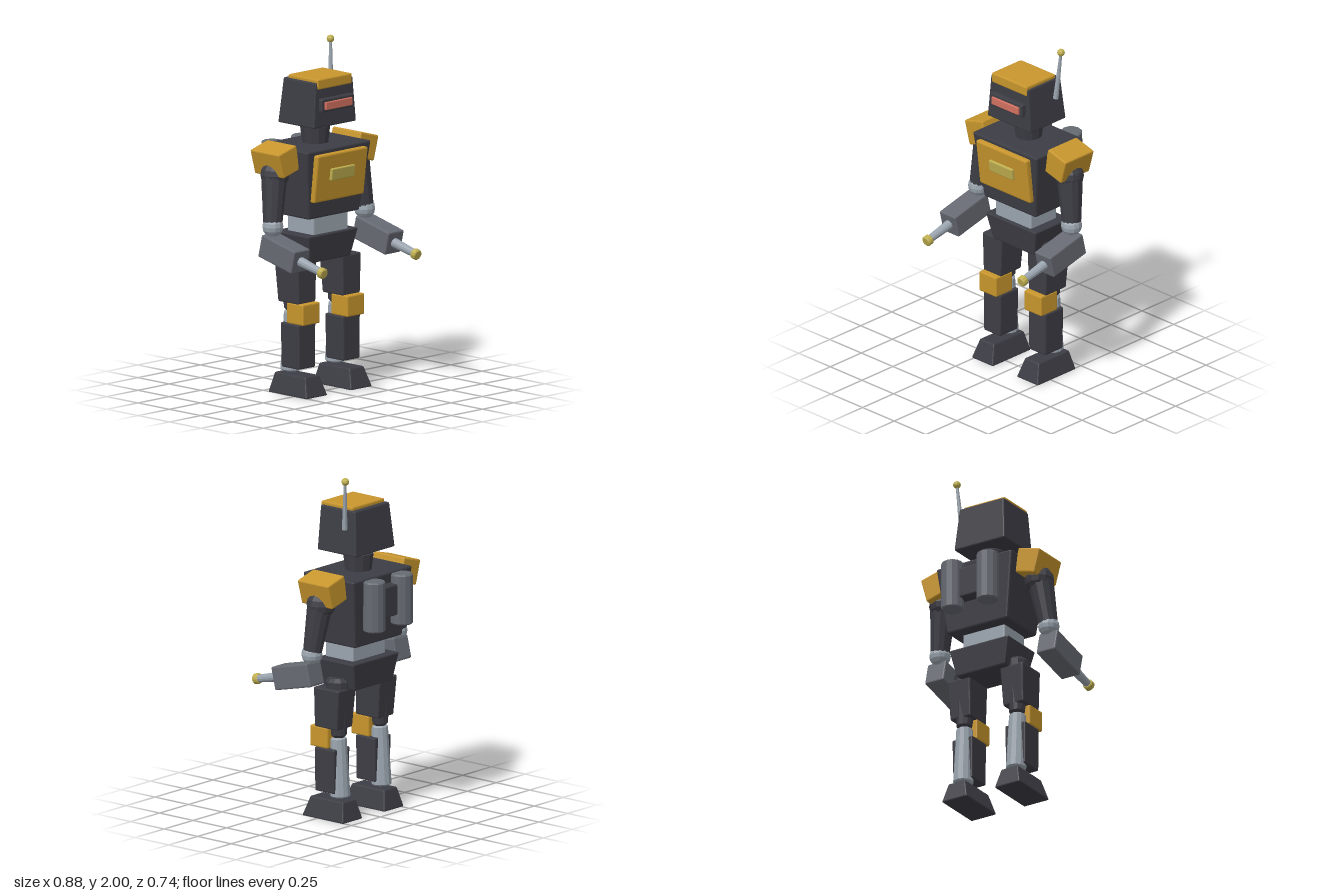
import * as THREE from 'three';
import { RoundedBoxGeometry } from 'three/addons/geometries/RoundedBoxGeometry.js';

const material = (name, color) => {
  const m = new THREE.MeshStandardMaterial({ color });
  m.name = name;
  return m;
};

// Faceted mesh: every face gets its own normals
function facet(name, geometry, mat) {
  const g = geometry.index ? geometry.toNonIndexed() : geometry;
  g.computeVertexNormals();
  const mesh = new THREE.Mesh(g, mat);
  mesh.name = name;
  return mesh;
}

// Bevelled box centred on its own origin
function box(name, mat, w, h, d, bevel = 0.008) {
  return facet(name, new RoundedBoxGeometry(w, h, d, 1, bevel), mat);
}

// Bevelled block from y0 to y1; bottom and top are [x0, x1, z0, z1]
function block(name, mat, y0, y1, bottom, top = bottom, bevel = 0.008) {
  const g = new RoundedBoxGeometry(1, y1 - y0, 1, 1, 0.0001);
  const h = y1 - y0;
  const p = g.attributes.position;
  const w = bottom[1] - bottom[0], d = bottom[3] - bottom[2];
  const src = new RoundedBoxGeometry(w, h, d, 1, bevel).attributes.position;
  for (let i = 0; i < p.count; i++) {
    const t = src.getY(i) / h + 0.5;
    const edge = (k) => THREE.MathUtils.lerp(bottom[k], top[k], t);
    p.setXYZ(i,
      THREE.MathUtils.lerp(edge(0), edge(1), src.getX(i) / w + 0.5),
      y0 + t * h,
      THREE.MathUtils.lerp(edge(2), edge(3), src.getZ(i) / d + 0.5));
  }
  return facet(name, g, mat);
}

// Chamfered, tapered cylinder between two points
function limb(name, mat, a, b, ra, rb, bevel = 0.008, sides = 12) {
  const from = new THREE.Vector3(...a), dir = new THREE.Vector3(...b).sub(from);
  const len = dir.length();
  const profile = [[0, 0], [ra - bevel, 0], [ra, bevel], [rb, len - bevel], [rb - bevel, len], [0, len]]
    .map(([r, y]) => new THREE.Vector2(r, y));
  const mesh = facet(name, new THREE.LatheGeometry(profile, sides), mat);
  mesh.position.copy(from);
  mesh.quaternion.setFromUnitVectors(new THREE.Vector3(0, 1, 0), dir.normalize());
  return mesh;
}

function ball(name, mat, r, x, y, z) {
  const mesh = facet(name, new THREE.SphereGeometry(r, 12, 8), mat);
  mesh.position.set(x, y, z);
  return mesh;
}

export function createModel() {
  const dark = material('charcoal', 0x3d3d45);
  const gold = material('gold', 0xc8962d);
  const steel = material('lightSteel', 0x9aa4ae);
  const grey = material('grey', 0x666a72);
  const brass = material('brass', 0xc0b050);
  const red = material('red', 0xd0705f);

  const robot = new THREE.Group();
  robot.name = 'robot';

  // Head, crown plate and visor
  const head = new THREE.Group();
  head.name = 'head';
  head.add(
    block('skull', dark, 1.54, 1.8, [-0.17, 0.17, -0.213, 0.075], [-0.148, 0.148, -0.19, 0.068]),
    block('crownPlate', gold, 1.76, 1.82, [-0.138, 0.138, -0.163, 0.074]),
    block('visorFrame', dark, 1.63, 1.708, [-0.127, 0.127, 0.05, 0.097]),
    block('visor', red, 1.645, 1.69, [-0.106, 0.106, 0.08, 0.11], undefined, 0.004),
    limb('antenna', steel, [0.17, 1.69, -0.13], [0.19, 1.97, -0.151], 0.016, 0.008, 0.002, 8),
    ball('antennaTip', brass, 0.022, 0.19, 1.978, -0.152),
    limb('neck', dark, [0, 1.4, -0.085], [0, 1.526, -0.085], 0.075, 0.088),
  );

  // Torso, chest plate, waist and pelvis
  const body = new THREE.Group();
  body.name = 'body';
  body.add(
    block('torso', dark, 1.02, 1.422, [-0.203, 0.203, -0.237, 0.067], [-0.255, 0.255, -0.27, 0.11], 0.01),
    block('chestPlate', gold, 1.12, 1.397, [-0.2, 0.2, 0.06, 0.107], [-0.2, 0.2, 0.09, 0.141], 0.01),
    block('chestBadge', brass, 1.24, 1.31, [-0.093, 0.093, 0.1, 0.138], [-0.093, 0.093, 0.11, 0.147], 0.006),
    block('waist', steel, 0.9, 1.04, [-0.14, 0.14, -0.167, 0.04]),
    block('pelvis', dark, 0.757, 0.92, [-0.163, 0.163, -0.2, 0.035], [-0.2, 0.2, -0.22, 0.062]),
    block('packBracket', dark, 1.18, 1.36, [-0.08, 0.08, -0.325, -0.24]),
  );
  robot.add(head, body);

  for (const s of [1, -1]) {
    const side = s > 0 ? 'left' : 'right';

    // Back tank
    body.add(limb(side + 'Tank', grey, [s * 0.119, 1.118, -0.307], [s * 0.119, 1.412, -0.307], 0.064, 0.064));

    // Arm with shoulder pad
    const arm = new THREE.Group();
    arm.name = side + 'Arm';
    const pad = box('shoulderPad', gold, 0.147, 0.147, 0.23);
    pad.position.set(s * 0.311, 1.364, -0.09);
    pad.rotation.z = -s * 0.27;
    const tilt = 0.236;
    const forearm = box('forearm', grey, 0.125, 0.135, 0.272);
    forearm.position.set(s * 0.376, 0.853, 0.042);
    forearm.rotation.x = tilt;
    const along = (t) => [s * 0.375, 0.853 - t * Math.sin(tilt), 0.042 + t * Math.cos(tilt)];
    arm.add(
      pad,
      ball('shoulderJoint', dark, 0.084, s * 0.322, 1.28, -0.085),
      limb('upperArm', dark, [s * 0.325, 1.3, -0.085], [s * 0.366, 1.0, -0.058], 0.076, 0.055),
      ball('elbow', steel, 0.061, s * 0.367, 0.99, -0.056),
      forearm,
      limb('barrel', steel, along(0.11), along(0.31), 0.029, 0.022, 0.002),
      limb('barrelTip', brass, along(0.293), along(0.33), 0.031, 0.031, 0.006),
    );

    // Leg, from hip to foot
    const leg = new THREE.Group();
    leg.name = side + 'Leg';
    leg.position.x = s * 0.178;
    leg.add(
      limb('hip', dark, [-s * 0.01, 0.82, -0.08], [0, 0.47, -0.095], 0.075, 0.045, 0.02),
      block('thigh', dark, 0.53, 0.765, [-0.068, 0.068, -0.137, 0.03], [-0.077, 0.077, -0.157, 0.03]),
      block('kneePad', gold, 0.413, 0.535, [-0.068, 0.068, -0.068, 0.065]),
      limb('calf', steel, [0, 0.13, -0.105], [0, 0.475, -0.09], 0.058, 0.048),
      block('shin', dark, 0.155, 0.413, [-0.065, 0.065, -0.113, 0.03], [-0.069, 0.069, -0.117, 0.03]),
      block('foot', dark, 0, 0.117, [-0.085, 0.085, -0.2, 0.11], [-0.055, 0.055, -0.173, 0.07]),
    );
    robot.add(arm, leg);
  }
  return robot;
}
